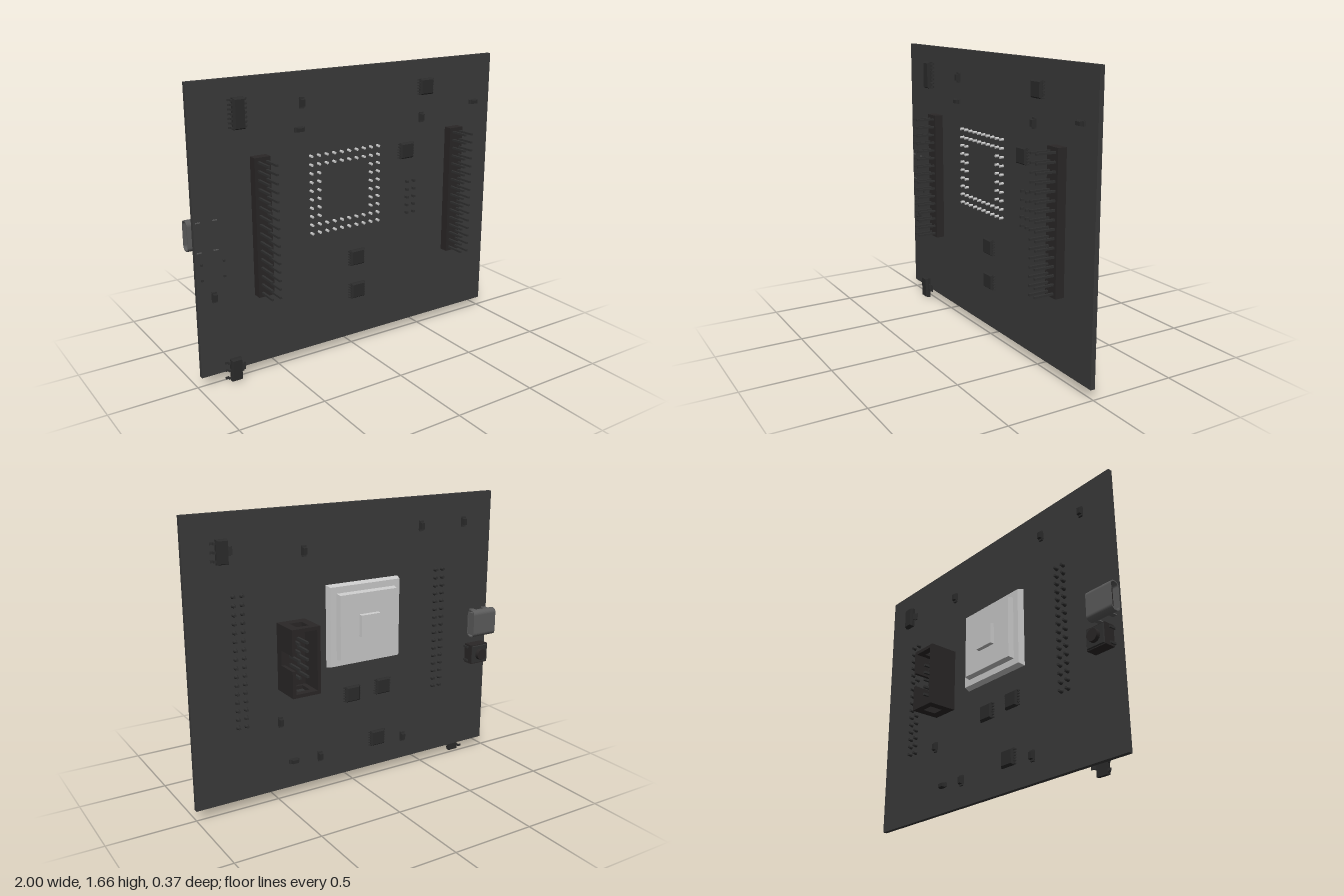
import * as THREE from 'three';

const mat = (color) => new THREE.MeshStandardMaterial({ color });
const boardMat = mat(0x3b3b3b), chipMat = mat(0x2b2b2b), plasticMat = mat(0x2a2727);
const pinMat = mat(0x303030), greyMat = mat(0xcccccc), shellMat = mat(0x5c5c5c);

const FRONT = 0.018, BACK = -0.008;

function add(parent, name, geometry, material, x = 0, y = 0, z = 0) {
  const mesh = new THREE.Mesh(geometry, material);
  mesh.name = name;
  mesh.position.set(x, y, z);
  parent.add(mesh);
  return mesh;
}

// Box given by its low and high corners
function span(parent, name, material, x0, x1, y0, y1, z0, z1) {
  return add(parent, name, new THREE.BoxGeometry(x1 - x0, y1 - y0, z1 - z0), material,
    (x0 + x1) / 2, (y0 + y1) / 2, (z0 + z1) / 2);
}

// Box whose outer face (+z) is inset on all four sides
function taperedBox(w, h, d, inset) {
  const g = new THREE.BoxGeometry(w, h, d);
  const p = g.attributes.position;
  for (let i = 0; i < p.count; i++) {
    if (p.getZ(i) > 0) {
      p.setX(i, p.getX(i) - Math.sign(p.getX(i)) * inset);
      p.setY(i, p.getY(i) - Math.sign(p.getY(i)) * inset);
    }
  }
  g.computeVertexNormals();
  return g;
}

// Group standing on the front or back face, its local +z pointing away from the board
function mount(parent, name, x, y, back = false) {
  const g = new THREE.Group();
  g.name = name;
  g.position.set(x, y, back ? BACK : FRONT);
  if (back) g.rotation.y = Math.PI;
  parent.add(g);
  return g;
}

// Bent leg leaving a body at x = side * edge
function leg(g, side, edge, y, reach, width, height) {
  const mid = edge + reach * 0.5;
  const place = (name, a, b, z0, z1) =>
    span(g, name, pinMat, Math.min(side * a, side * b), Math.max(side * a, side * b), y - width / 2, y + width / 2, z0, z1);
  place('legShoulder', edge - 0.005, mid, height - 0.006, height);
  place('legRiser', mid - 0.005, mid, 0, height);
  place('legFoot', mid - 0.005, edge + reach, 0, 0.005);
}

// Chip with a row of legs on both sides
function chip(parent, name, x, y, back, w, h, d, legs, reach) {
  const g = mount(parent, name, x, y, back);
  const base = d * 0.55;
  add(g, 'chipBody', new THREE.BoxGeometry(w, h, base - 0.003), chipMat, 0, 0, 0.003 + (base - 0.003) / 2);
  add(g, 'chipTop', taperedBox(w, h, d - base, 0.008), chipMat, 0, 0, (d + base) / 2);
  const pitch = (h * 0.86) / (legs - 1);
  for (let i = 0; i < legs; i++) {
    for (const s of [-1, 1]) leg(g, s, w / 2, (i - (legs - 1) / 2) * pitch, reach, pitch * 0.45, base);
  }
}

// Small two-ended component
function passive(parent, x, y, back, upright) {
  const g = mount(parent, 'smallComponent', x, y, back);
  if (upright) g.rotation.z = Math.PI / 2;
  add(g, 'body', taperedBox(0.046, 0.03, 0.026, 0.005), chipMat, 0, 0, 0.014);
  for (const s of [-1, 1]) add(g, 'endCap', new THREE.BoxGeometry(0.013, 0.026, 0.012), pinMat, s * 0.024, 0, 0.006);
}

// Regulator with three legs on one side and a broad tab on the other
function regulator(parent, x, y, back) {
  const g = mount(parent, 'regulator', x, y, back);
  add(g, 'body', new THREE.BoxGeometry(0.065, 0.13, 0.018), chipMat, 0, 0, 0.013);
  add(g, 'bodyTop', taperedBox(0.065, 0.13, 0.015, 0.006), chipMat, 0, 0, 0.0295);
  for (const dy of [-0.046, 0, 0.046]) leg(g, -1, 0.0325, dy, 0.028, 0.014, 0.018);
  leg(g, 1, 0.0325, 0, 0.03, 0.046, 0.018);
}

// Two-column pin header with pins passing through the board
function pinHeader(parent, x, name) {
  const g = new THREE.Group();
  g.name = name;
  parent.add(g);
  const pitch = 0.0487;
  for (let r = 0; r < 16; r++) {
    const y = 0.495 + r * pitch;
    add(g, 'headerBlock', new THREE.BoxGeometry(0.094, pitch, 0.052), plasticMat, x, y, FRONT + 0.026);
    for (const s of [-1, 1]) {
      add(g, 'headerPin', new THREE.BoxGeometry(0.012, 0.012, 0.218), pinMat, x + s * 0.0245, y, 0.076);
      const joint = add(g, 'solderJoint', new THREE.CylinderGeometry(0.008, 0.013, 0.02, 8), pinMat, x + s * 0.0245, y, BACK - 0.01);
      joint.rotation.x = -Math.PI / 2;
    }
  }
}

// Shrouded ten-pin connector on the back
function boxHeader(parent) {
  const g = new THREE.Group();
  g.name = 'boxHeader';
  parent.add(g);
  const x0 = 0.315, x1 = 0.487, y0 = 0.667, y1 = 1.05, z0 = -0.185, t = 0.02;
  span(g, 'shroudFloor', plasticMat, x0, x1, y0, y1, -0.045, BACK);
  span(g, 'shroudWall', plasticMat, x0, x0 + t, y0, y1, z0, -0.045);
  // Keyed wall with a notch in the middle
  span(g, 'keyedWall', plasticMat, x1 - t, x1, y0, 0.82, z0, -0.045);
  span(g, 'keyedWall', plasticMat, x1 - t, x1, 0.905, y1, z0, -0.045);
  span(g, 'notchSill', plasticMat, x1 - t, x1, 0.82, 0.905, -0.058, -0.045);
  // End walls, each with a window
  for (const y of [y0, y1 - t]) {
    span(g, 'endWall', plasticMat, x0 + t, 0.364, y, y + t, z0, -0.045);
    span(g, 'endWall', plasticMat, 0.436, x1 - t, y, y + t, z0, -0.045);
    span(g, 'endLintel', plasticMat, 0.364, 0.436, y, y + t, z0, -0.145);
    span(g, 'endSill', plasticMat, 0.364, 0.436, y, y + t, -0.063, -0.045);
  }
  for (let r = 0; r < 5; r++) {
    for (const x of [0.378, 0.427]) {
      add(g, 'connectorPin', new THREE.BoxGeometry(0.014, 0.014, 0.195), pinMat, x, 0.765 + r * 0.0478, -0.0575);
    }
  }
}

// Stepped processor lid on the back with its pins on the front
function processor(parent) {
  const g = new THREE.Group();
  g.name = 'processor';
  parent.add(g);
  const steps = [[0.48, BACK, 0.045, 0.01], [0.385, -0.045, 0.08, 0.006], [0.13, -0.08, 0.102, 0.003]];
  for (const [size, z, top, inset] of steps) {
    const d = top + z;
    const m = add(g, 'processorLid', taperedBox(size, size, d, inset), greyMat, -0.06, 0.98, z - d / 2);
    m.rotation.y = Math.PI;
  }
  const pin = new THREE.CylinderGeometry(0.008, 0.008, 0.05, 8).rotateX(Math.PI / 2);
  for (let i = 0; i < 10; i++) {
    for (let j = 0; j < 10; j++) {
      if (i > 1 && i < 8 && j > 1 && j < 8) continue;
      add(g, 'processorPin', pin, greyMat, -0.28 + i * 0.0494, 0.757 + j * 0.0494, 0.015);
    }
  }
}

function roundedRect(target, w, h, r) {
  const x = w / 2, y = h / 2;
  target.absarc(x - r, y - r, r, 0, Math.PI / 2);
  target.absarc(-x + r, y - r, r, Math.PI / 2, Math.PI);
  target.absarc(-x + r, -y + r, r, Math.PI, Math.PI * 1.5);
  target.absarc(x - r, -y + r, r, Math.PI * 1.5, Math.PI * 2);
  target.closePath();
  return target;
}

// Rounded socket opening past the board edge
function socket(parent) {
  const g = new THREE.Group();
  g.name = 'socket';
  parent.add(g);
  const shape = roundedRect(new THREE.Shape(), 0.062, 0.17, 0.028);
  shape.holes.push(roundedRect(new THREE.Path(), 0.05, 0.158, 0.022));
  const shell = new THREE.ExtrudeGeometry(shape, { depth: 0.17, bevelEnabled: false, curveSegments: 6 }).rotateY(Math.PI / 2);
  add(g, 'socketShell', shell, shellMat, -1, 0.86, -0.049);
  span(g, 'socketBack', shellMat, -0.86, -0.832, 0.79, 0.93, -0.073, -0.025);
  span(g, 'socketTongue', plasticMat, -0.98, -0.85, 0.81, 0.91, -0.055, -0.043);
  for (const y of [0.778, 0.942]) {
    for (const x of [-0.955, -0.86]) span(g, 'socketTab', shellMat, x - 0.014, x + 0.014, y - 0.003, y + 0.003, -0.05, 0.021);
  }
}

function pushButton(parent) {
  const g = mount(parent, 'pushButton', -0.883, 0.667, true);
  add(g, 'buttonBody', new THREE.BoxGeometry(0.125, 0.12, 0.065), plasticMat, 0, 0, 0.0375);
  add(g, 'buttonPlate', taperedBox(0.115, 0.11, 0.008, 0.003), pinMat, 0, 0, 0.074);
  add(g, 'buttonCap', new THREE.CylinderGeometry(0.034, 0.036, 0.025, 20).rotateX(Math.PI / 2), plasticMat, 0, 0, 0.088);
  for (const sx of [-1, 1]) {
    for (const sy of [-1, 1]) add(g, 'buttonLeg', new THREE.BoxGeometry(0.012, 0.012, 0.075), pinMat, sx * 0.064, sy * 0.043, 0.003);
  }
}

export function createModel() {
  const model = new THREE.Group();
  model.name = 'circuitBoard';
  span(model, 'board', boardMat, -0.98, 1, 0.06, 1.665, BACK, FRONT);

  pinHeader(model, -0.597, 'rightPinHeader');
  pinHeader(model, 0.71, 'leftPinHeader');
  boxHeader(model);
  processor(model);
  socket(model);
  pushButton(model);

  // Chips
  chip(model, 'longChip', -0.706, 1.485, false, 0.068, 0.165, 0.036, 7, 0.02);
  for (const [x, y] of [[0.505, 1.51], [0.37, 1.147], [0.022, 0.555], [0.027, 0.347]]) {
    chip(model, 'frontChip', x, y, false, 0.094, 0.094, 0.024, 6, 0.01);
  }
  for (const [x, y] of [[0.01, 0.555], [-0.2, 0.565], [-0.165, 0.24]]) {
    chip(model, 'backChip', x, y, true, 0.094, 0.094, 0.024, 6, 0.01);
  }
  regulator(model, -0.782, 0.066, false);
  regulator(model, 0.79, 1.467, true);

  // Small components: x, y, on the back, upright
  const parts = [
    [-0.33, 1.5, false, true], [-0.347, 1.357, false, false], [0.475, 1.333, false, true],
    [0.873, 1.383, false, false], [-0.885, 0.517, false, true],
    [0.315, 1.425, true, true], [-0.46, 1.495, true, true], [-0.77, 1.495, true, true],
    [0.48, 0.475, true, true], [0.4, 0.22, true, false], [0.23, 0.21, true, true], [-0.35, 0.205, true, true],
  ];
  for (const p of parts) passive(model, ...p);
  return model;
}
